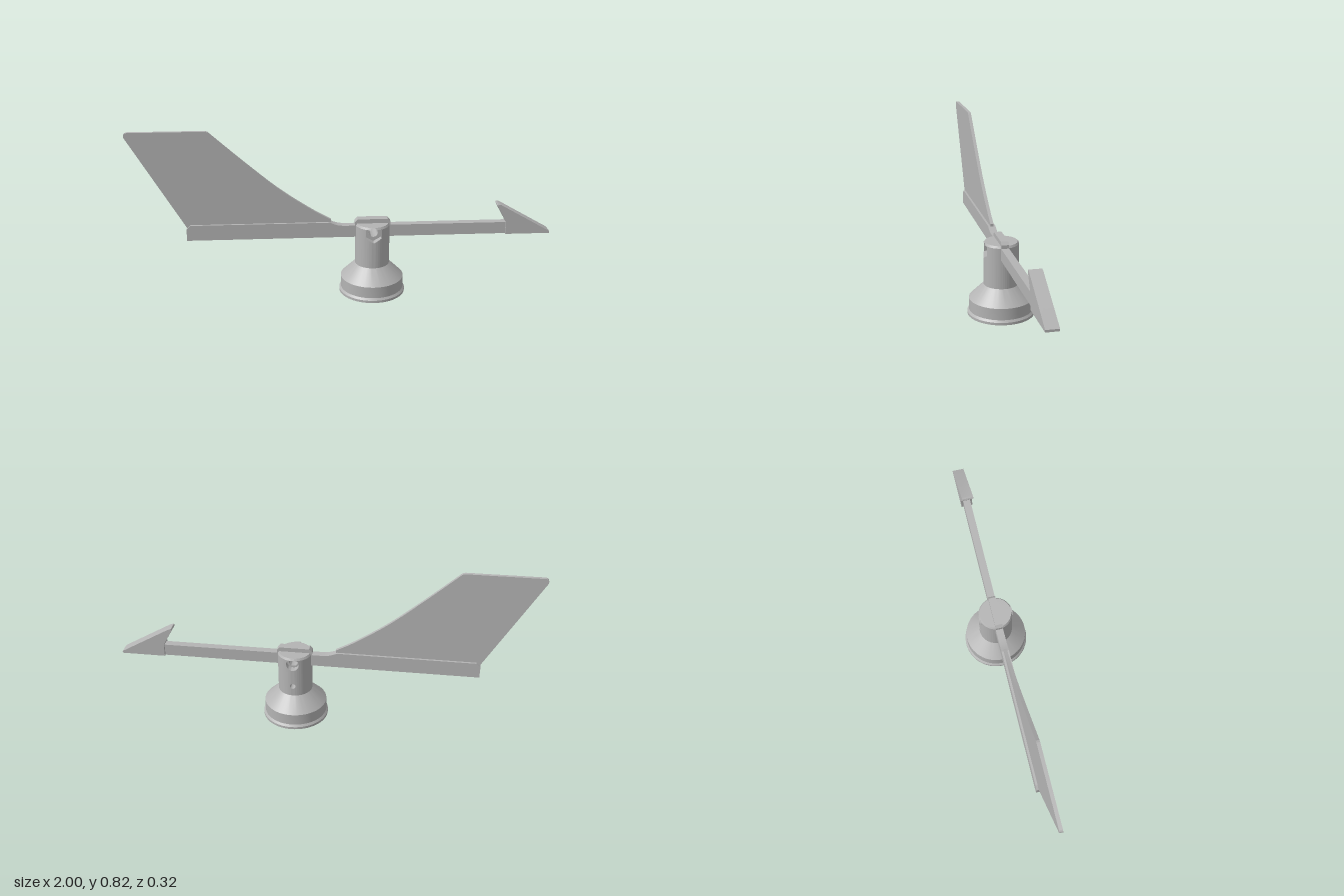
import * as THREE from 'three';
import { toCreasedNormals } from 'three/addons/utils/BufferGeometryUtils.js';

const R = 0.083, CAP_R = 0.077, SHOULDER = 0.147, CHAMFER = 0.345, TOP = 0.355;
const HALF_T = 0.018, BOLT_Y = 0.32, BOLT_R = 0.022, POST_X = 0.14;

const grey = new THREE.MeshStandardMaterial({ color: 0xb4b4b4, side: THREE.DoubleSide });
grey.name = 'grey plastic';

function mesh(name, geometry) {
  const m = new THREE.Mesh(toCreasedNormals(geometry, 0.4), grey);
  m.name = name;
  return m;
}

// Flat outline extruded symmetrically about z = 0
function plate(name, shape, halfDepth) {
  const g = new THREE.ExtrudeGeometry(shape, { depth: halfDepth * 2, bevelEnabled: false, curveSegments: 24 });
  g.translate(0, 0, -halfDepth);
  return mesh(name, g);
}

const outline = (points) => new THREE.Shape(points.map(([x, y]) => new THREE.Vector2(x, y)));

function quadGeometry(quads) {
  const pos = [];
  for (const [a, b, c, d] of quads) pos.push(...a, ...b, ...c, ...a, ...c, ...d);
  const g = new THREE.BufferGeometry();
  g.setAttribute('position', new THREE.Float32BufferAttribute(pos, 3));
  return g;
}

// Recesses: half width w, half height at x, and outline points
function roundRecess(cy, r, floor, bore) {
  const points = Array.from({ length: 32 }, (_, i) => {
    const t = (i / 32) * Math.PI * 2;
    return [r * Math.cos(t), cy + r * Math.sin(t)];
  });
  return { cy, w: r, floor, bore, points, half: (x) => Math.sqrt(Math.max(0, r * r - x * x)) };
}

function hexRecess(cy, r, floor, bore) {
  const points = [];
  const corner = (i) => [r * Math.cos(Math.PI / 6 + i * Math.PI / 3), r * Math.sin(Math.PI / 6 + i * Math.PI / 3)];
  for (let i = 0; i < 6; i++) {
    const a = corner(i), b = corner(i + 1);
    for (let k = 0; k < 6; k++) {
      points.push([a[0] + (b[0] - a[0]) * k / 6, cy + a[1] + (b[1] - a[1]) * k / 6]);
    }
  }
  return { cy, w: r * Math.sqrt(3) / 2, floor, bore, points, half: (x) => r - Math.abs(x) / Math.sqrt(3) };
}

// Half of the round post, in vertical strips interrupted by the recesses (listed upward)
function postHalf(name, recesses) {
  const group = new THREE.Group();
  group.name = name;
  const depth = (x) => Math.sqrt(Math.max(0, R * R - x * x));
  const xs = [];
  for (let i = 0; i <= 96; i++) xs.push(-R * Math.cos((i / 96) * Math.PI));
  for (const r of recesses) xs.push(-r.w, r.w);
  xs.sort((a, b) => a - b);

  const quads = [];
  const k = CAP_R / R;
  for (let i = 0; i < xs.length - 1; i++) {
    const x0 = xs[i], x1 = xs[i + 1];
    if (x1 - x0 < 1e-6) continue;
    const z0 = depth(x0), z1 = depth(x1);
    let low0 = SHOULDER, low1 = SHOULDER, notch = null;
    const strip = (h0, h1) => quads.push([[x0, low0, z0], [x1, low1, z1], [x1, h1, z1], [x0, h0, z0]]);
    for (const r of recesses) {
      if (Math.abs((x0 + x1) / 2) > r.w) continue;
      strip(r.cy - r.half(x0), r.cy - r.half(x1));
      low0 = Math.min(CHAMFER, r.cy + r.half(x0));
      low1 = Math.min(CHAMFER, r.cy + r.half(x1));
      if (r.cy + r.half((x0 + x1) / 2) > TOP) notch = r;
    }
    strip(CHAMFER, CHAMFER);
    const c0 = [x0 * k, TOP, z0 * k], c1 = [x1 * k, TOP, z1 * k];
    if (notch) c0[2] = c1[2] = notch.floor;
    else quads.push([[x0, CHAMFER, z0], [x1, CHAMFER, z1], c1, c0]);
    quads.push([c0, c1, [x1 * k, TOP, 0], [x0 * k, TOP, 0]]);
  }
  group.add(mesh('postSkin', quadGeometry(quads)));

  for (const r of recesses) {
    const pts = r.points.map(([x, y]) => [x, Math.min(y, TOP)]);
    const wall = pts.map(([x, y], i) => {
      const [nx, ny] = pts[(i + 1) % pts.length];
      return [[x, y, depth(x)], [nx, ny, depth(nx)], [nx, ny, r.floor], [x, y, r.floor]];
    });
    group.add(mesh('recessWall', quadGeometry(wall)));
    const floorShape = outline(pts);
    if (r.bore) floorShape.holes.push(new THREE.Path().absarc(0, r.cy, r.bore, 0, Math.PI * 2, true));
    const floor = mesh('recessFloor', new THREE.ShapeGeometry(floorShape, 24));
    floor.position.z = r.floor;
    group.add(floor);
  }
  return group;
}

export function createModel() {
  const model = new THREE.Group();
  model.name = 'windVane';

  // Post on a hollow flared base
  const post = new THREE.Group();
  post.name = 'post';
  post.position.x = POST_X;
  const profile = [
    [0, 0.2], [0.025, 0.2], [0.025, 0.125], [0.045, 0.125], [0.045, 0.135], [0.068, 0.135],
    [0.135, 0.07], [0.135, 0], [0.16, 0], [0.16, 0.012], [0.152, 0.022], [0.152, 0.078], [R, SHOULDER],
  ].map(([r, y]) => new THREE.Vector2(r, y));
  post.add(mesh('base', new THREE.LatheGeometry(profile, 64)));
  post.add(postHalf('postFront', [hexRecess(BOLT_Y, 0.043, 0.05, BOLT_R)]));
  const back = postHalf('postBack', [roundRecess(0.2, 0.014, 0.03, 0), roundRecess(BOLT_Y, 0.031, 0.05, BOLT_R)]);
  back.rotation.y = Math.PI;
  post.add(back);

  // Bolt bore through the post
  const bore = new THREE.CylinderGeometry(BOLT_R, BOLT_R, 0.1, 32, 1, true);
  bore.rotateX(Math.PI / 2);
  bore.translate(0, BOLT_Y, 0);
  post.add(mesh('boltBore', bore));
  model.add(post);

  // Beam with raised tail holder and a chamfered hump over the post
  const beam = outline([[-0.745, 0.287], [0.787, 0.287], [0.787, 0.345], [0.225, 0.345], [0.225, 0.362],
    [0.212, 0.376], [0.068, 0.376], [0.055, 0.362], [0.055, 0.345], [0, 0.345], [-0.025, 0.348],
    [-0.045, 0.354], [-0.065, 0.363], [-0.725, 0.363], [-0.745, 0.345]]);
  beam.holes.push(new THREE.Path().absarc(POST_X, BOLT_Y, BOLT_R, 0, Math.PI * 2, true));
  model.add(plate('beam', beam, HALF_T));

  // Tail fin with rounded corners and a swept front edge
  const fin = new THREE.Shape();
  fin.moveTo(-0.74, 0.345);
  fin.lineTo(-0.06, 0.345);
  fin.lineTo(-0.06, 0.375);
  fin.splineThru([[-0.15, 0.427], [-0.3, 0.532], [-0.45, 0.66], [-0.615, 0.81]].map(([x, y]) => new THREE.Vector2(x, y)));
  fin.quadraticCurveTo(-0.622, 0.82, -0.64, 0.82);
  fin.lineTo(-0.98, 0.82);
  fin.quadraticCurveTo(-1.005, 0.82, -0.997, 0.795);
  fin.closePath();
  model.add(plate('tailFin', fin, 0.008));

  // Barbed pointer
  model.add(plate('pointer', outline([[0.785, 0.287], [1, 0.287], [1, 0.297], [0.755, 0.438],
    [0.742, 0.44], [0.738, 0.433], [0.785, 0.35]]), 0.029));

  return model;
}
